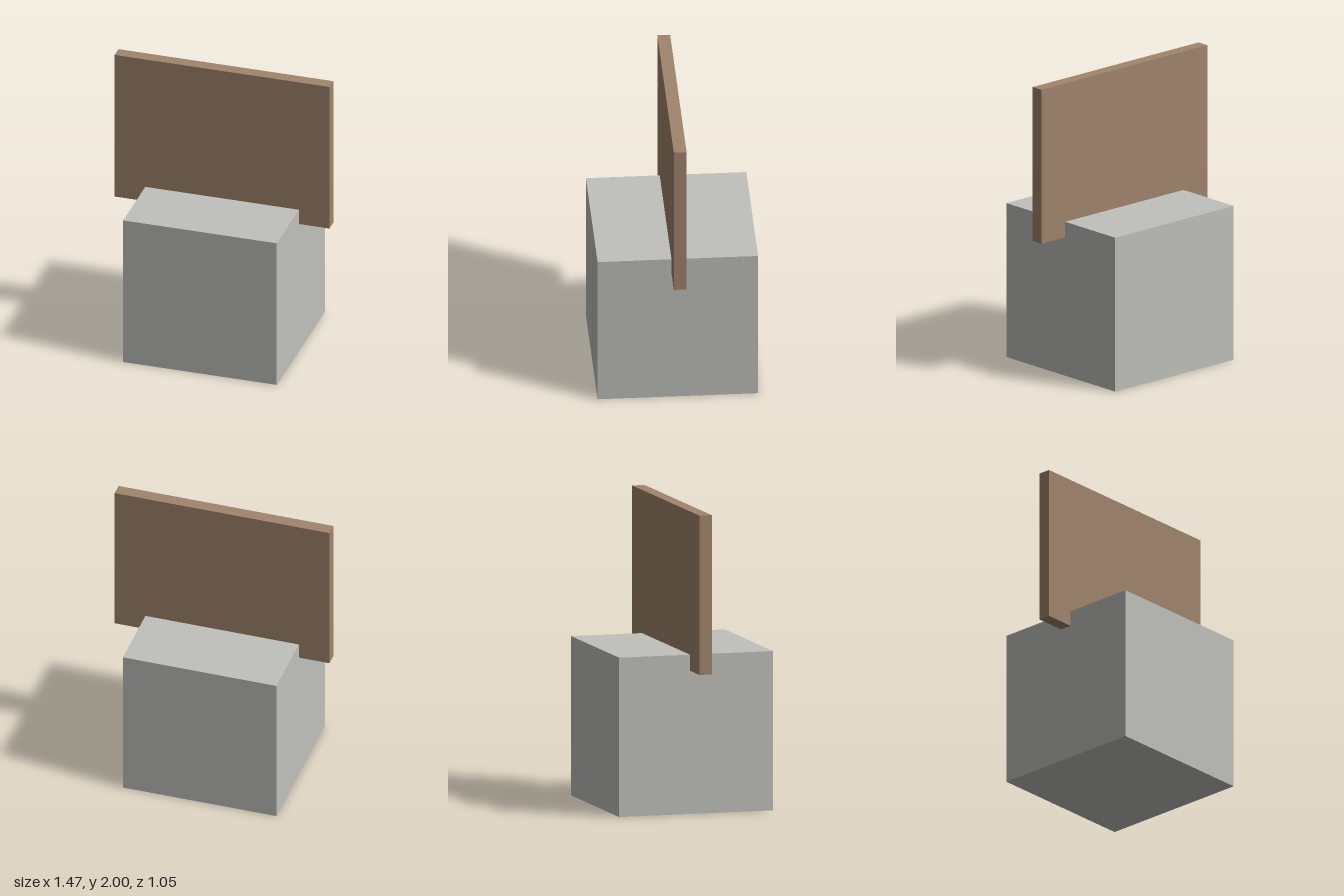
import * as THREE from 'three';

export function createModel() {
  const group = new THREE.Group();
  const stone = new THREE.MeshStandardMaterial({ color: 0xc0c0bc });
  stone.name = 'pale grey';
  const wood = new THREE.MeshStandardMaterial({ color: 0xa1866c });
  wood.name = 'brown';

  const addBox = (name, width, height, depth, bottom, material) => {
    const mesh = new THREE.Mesh(new THREE.BoxGeometry(width, height, depth), material);
    mesh.name = name;
    mesh.position.y = bottom + height / 2;
    group.add(mesh);
  };

  // Cube base
  addBox('base', 1.053, 1.053, 1.053, 0, stone);
  // Upright board, sunk slightly into the base
  addBox('board', 1.474, 1.053, 0.084, 0.947, wood);

  return group;
}
